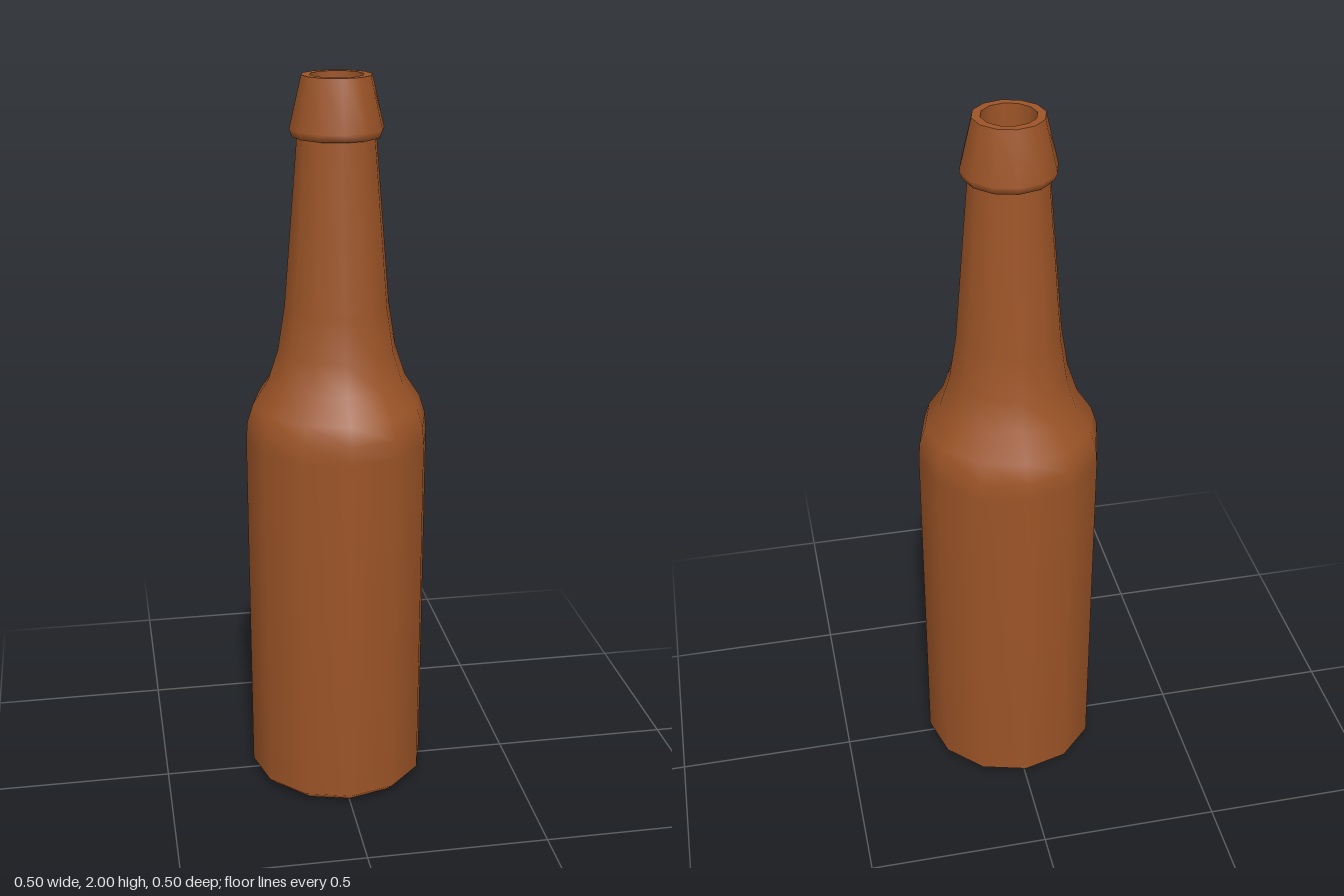
import * as THREE from 'three';

const SIDES = 12;

// Revolve a list of [radius, height] pairs, listed with the outside on the right
function lathe(name, profile, material) {
  const points = profile.map(([r, y]) => new THREE.Vector2(r, y));
  const mesh = new THREE.Mesh(new THREE.LatheGeometry(points, SIDES), material);
  mesh.name = name;
  return mesh;
}

export function createModel() {
  const bottle = new THREE.Group();
  bottle.name = 'bottle';

  const amberGlass = new THREE.MeshStandardMaterial({ color: 0x9c5427 });
  amberGlass.name = 'amber glass';

  bottle.add(
    // Base, straight wall, shoulder and tapering neck
    lathe('body', [
      [0, 0], [0.22, 0.004], [0.248, 0.03], [0.25, 1.03], [0.246, 1.08], [0.23, 1.13],
      [0.188, 1.195], [0.16, 1.28], [0.141, 1.4], [0.104, 1.85],
    ], amberGlass),
    // Flared collar around the mouth
    lathe('collar', [
      [0.102, 1.845], [0.116, 1.845], [0.124, 1.865], [0.092, 2],
    ], amberGlass),
    // Flat rim
    lathe('rim', [[0.092, 2], [0.07, 2]], amberGlass),
    // Hollow mouth and its floor
    lathe('bore', [[0.07, 2], [0.07, 1.8]], amberGlass),
    lathe('boreFloor', [[0.07, 1.8], [0, 1.8]], amberGlass),
  );

  return bottle;
}
